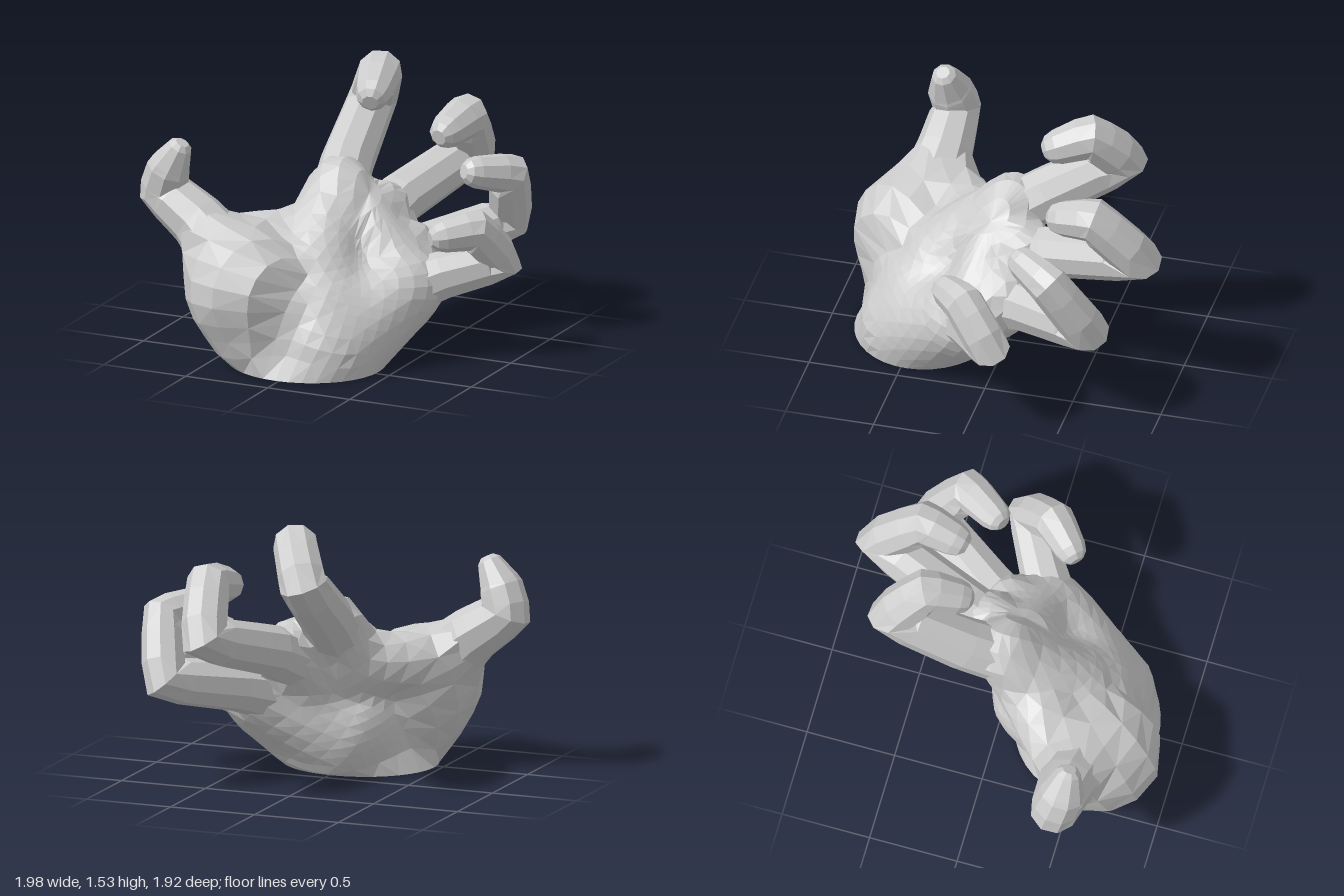
import * as THREE from 'three';

const V = (a) => new THREE.Vector3(a[0], a[1], a[2]);
const skin = new THREE.MeshStandardMaterial({ color: 0xcccccc, flatShading: true });

// Skins a list of rings (equal point counts) and closes the last one.
function loft(name, rings) {
  const n = rings[0].length, index = [];
  const end = rings[rings.length - 1];
  const centre = end.reduce((s, p) => s.add(p), new THREE.Vector3()).divideScalar(n);
  const all = [...rings, end.map(() => centre)];
  for (let j = 0; j < all.length - 1; j++) {
    for (let i = 0; i < n; i++) {
      const a = j * n + i, b = j * n + (i + 1) % n;
      if ((i + j) % 2) index.push(a, b, a + n, b, b + n, a + n);
      else index.push(a, b, b + n, a, b + n, a + n);
    }
  }
  const geo = new THREE.BufferGeometry().setFromPoints(all.flat());
  geo.setIndex(index);
  geo.computeVertexNormals();
  const mesh = new THREE.Mesh(geo, skin);
  mesh.name = name;
  return mesh;
}

// Straight tapered bones with angular knuckles and a blunt tip; each joint is [x, y, z, radius].
function limb(name, joints, sides = 9) {
  const rings = [], normal = new THREE.Vector3();
  let last = null;
  const addRing = (p, t, r) => {
    if (!last) normal.set(0.3, 0.2, 1).cross(t).normalize();
    else normal.applyQuaternion(new THREE.Quaternion().setFromUnitVectors(last, t));
    last = t.clone();
    const side = t.clone().cross(normal);
    rings.push(Array.from({ length: sides }, (_, i) => {
      const a = (i / sides) * Math.PI * 2;
      return p.clone().addScaledVector(normal, r * Math.cos(a)).addScaledVector(side, r * Math.sin(a));
    }));
  };
  const pts = joints.map(V);
  const dirs = pts.slice(1).map((p, i) => p.clone().sub(pts[i]).normalize());
  dirs.forEach((dir, s) => {
    const r0 = joints[s][3], r1 = joints[s + 1][3];
    addRing(pts[s], s ? dirs[s - 1].clone().add(dir).normalize() : dir, r0);
    for (const f of [0.25, 0.75]) {
      addRing(pts[s].clone().lerp(pts[s + 1], f), dir, THREE.MathUtils.lerp(r0, r1, f));
    }
  });
  const tip = pts[pts.length - 1], t = dirs[dirs.length - 1], r = joints[joints.length - 1][3];
  [[0, 1], [0.55, 0.8], [0.85, 0.45]].forEach(([d, s]) => addRing(tip.clone().addScaledVector(t, r * d), t, r * s));
  return loft(name, rings);
}

// Masses of the palm: two ends of a tapered capsule, [x, y, z, radius] each
const masses = [
  [[-0.02, -0.2, 0.49, 0.39], [0.02, 0.22, 0.37, 0.38]], // wrist
  [[0.0, 0.25, 0.23, 0.31], [0.32, 0.45, 0.0, 0.21]], // back of the hand
  [[0.13, 0.1, 0.5, 0.3], [0.39, 0.36, 0.18, 0.22]], // heel
  [[-0.2, 0.1, 0.6, 0.26], [-0.32, 0.43, 0.62, 0.33]], // thumb mound
  [[-0.32, 0.43, 0.62, 0.33], [-0.64, 0.73, 0.53, 0.15]], // thumb root
  [[-0.03, 0.47, 0.33, 0.26], [-0.06, 0.87, -0.02, 0.17]], // metacarpals
  [[0.05, 0.3, 0.3, 0.26], [0.15, 0.74, -0.14, 0.16]],
  [[0.12, 0.25, 0.3, 0.26], [0.34, 0.55, -0.08, 0.16]],
  [[0.15, 0.2, 0.32, 0.26], [0.48, 0.41, 0.09, 0.16]],
  [[-0.02, 0.86, 0.0, 0.16], [0.41, 0.45, 0.11, 0.16]], // pads under the knuckles
  [[-0.1, 0.62, 0.14, 0.18], [-0.46, 0.61, 0.44, 0.17]], // web of the thumb
].map(([a, b]) => ({ line: new THREE.Line3(V(a), V(b)), ra: a[3], rb: b[3] }));

// Signed distance to the blended masses
function palmDistance(p) {
  const k = 0.06, q = new THREE.Vector3();
  return masses.reduce((d, { line, ra, rb }) => {
    const f = line.closestPointToPointParameter(p, true);
    const e = line.at(f, q).distanceTo(p) - THREE.MathUtils.lerp(ra, rb, f);
    const h = Math.max(k - Math.abs(d - e), 0) / k;
    return Math.min(d, e) - h * h * k * 0.25;
  }, 10);
}

// Palm: rays fan out from the middle, sweeping from the wrist rim to the knuckles
function palm() {
  const sides = 36, rows = 17;
  const core = V([0.03, 0.36, 0.34]), axis = V([0.2, 0.75, -0.4]).normalize();
  const ellipse = (y, rx, rz) => Array.from({ length: sides }, (_, i) => {
    const a = (i / sides) * Math.PI * 2;
    return V([-0.02 + rx * Math.cos(a), y, 0.465 - rz * Math.sin(a)]);
  });
  const rim = ellipse(0, 0.44, 0.4);
  // Pocket in the wrist cut, then the cut itself
  const rings = [ellipse(0.14, 0.03, 0.03), ellipse(0, 0.13, 0.1), rim];
  for (let j = 1; j < rows; j++) {
    rings.push(rim.map((p) => {
      const dir = p.clone().sub(core).normalize();
      const turn = new THREE.Vector3().crossVectors(dir, axis).normalize();
      dir.applyAxisAngle(turn, dir.angleTo(axis) * j / rows);
      const hit = core.clone();
      for (let step = 0; step < 50; step++) hit.addScaledVector(dir, Math.max(0, -palmDistance(hit)));
      hit.y = Math.max(hit.y, 0);
      return hit;
    }));
  }
  return loft('palm', rings);
}

export function createModel() {
  const hand = new THREE.Group();
  hand.name = 'hand';
  hand.add(palm());

  // Digits: root, base, middle knuckle, end knuckle, tip
  const digits = {
    thumb: [[-0.42, 0.54, 0.57, 0.2], [-0.66, 0.75, 0.53, 0.16], [-0.87, 0.89, 0.52, 0.135],
      [-0.82, 1.03, 0.55, 0.125], [-0.765, 1.13, 0.56, 0.085]],
    indexFinger: [[-0.04, 0.76, 0.08, 0.16], [-0.1, 0.96, -0.22, 0.15], [-0.135, 1.22, -0.62, 0.135],
      [-0.02, 1.41, -0.46, 0.125], [0.02, 1.34, -0.29, 0.1]],
    middleFinger: [[0.08, 0.57, 0.1, 0.16], [0.19, 0.76, -0.3, 0.145], [0.37, 0.92, -0.84, 0.13],
      [0.44, 1.18, -0.6, 0.125], [0.41, 1.14, -0.42, 0.1]],
    ringFinger: [[0.21, 0.43, 0.1, 0.18], [0.42, 0.53, -0.23, 0.145], [0.69, 0.62, -0.63, 0.125],
      [0.78, 0.94, -0.44, 0.115], [0.66, 0.98, -0.26, 0.09]],
    littleFinger: [[0.34, 0.35, 0.2, 0.16], [0.6, 0.46, 0.04, 0.135], [0.89, 0.54, -0.13, 0.115],
      [0.8, 0.75, 0.04, 0.115], [0.67, 0.73, 0.17, 0.09]],
  };
  for (const [name, joints] of Object.entries(digits)) hand.add(limb(name, joints));

  return hand;
}
